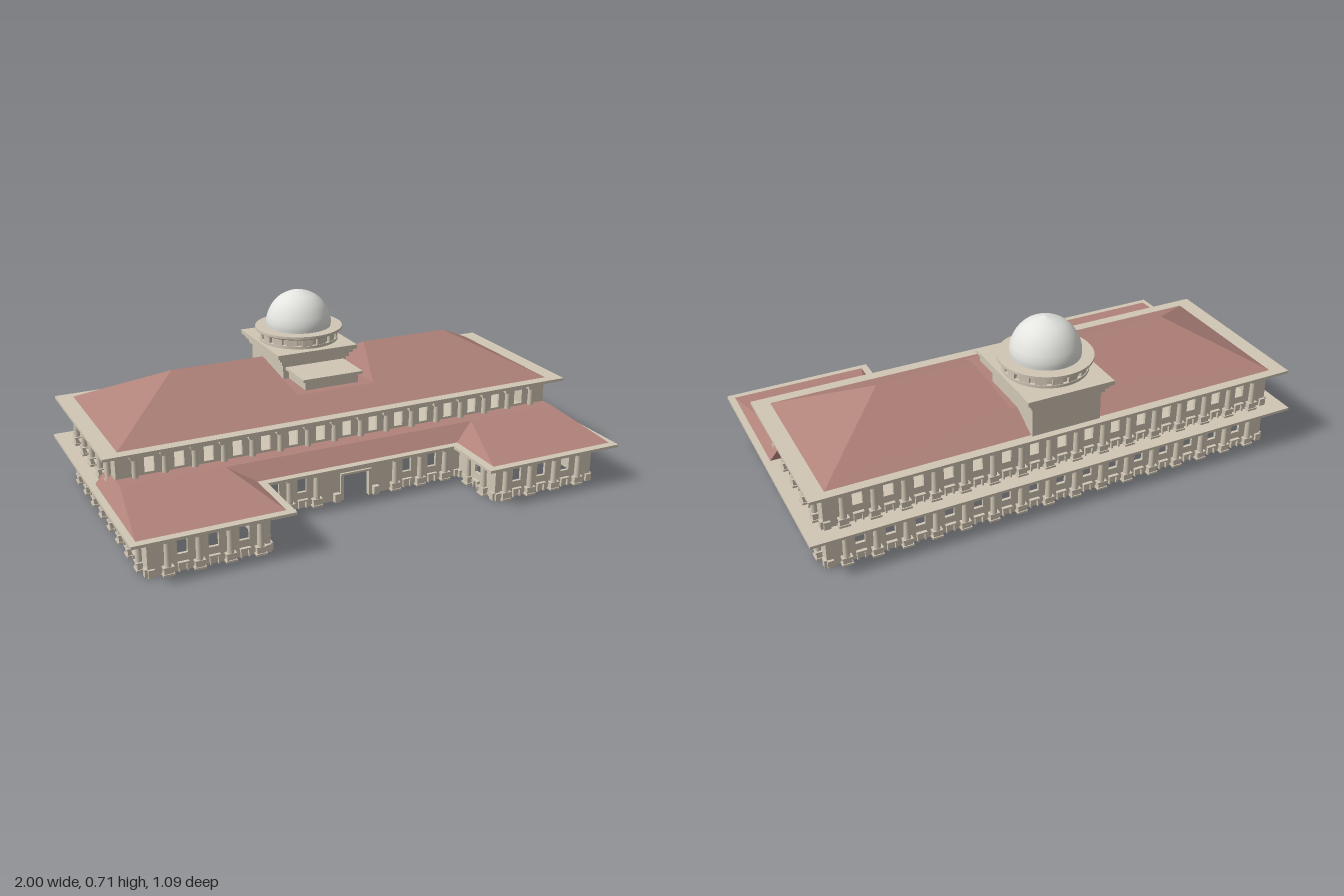
import * as THREE from 'three';
import { mergeGeometries } from 'three/addons/utils/BufferGeometryUtils.js';

const stone = new THREE.MeshStandardMaterial({ color: 0xd0c6b4, side: THREE.DoubleSide });
const tile = new THREE.MeshStandardMaterial({ color: 0xb0827a, side: THREE.DoubleSide });
const domeMat = new THREE.MeshStandardMaterial({ color: 0xe4e4e0 });

const BAY = 0.1143, WALL_H = 0.145, THICK = 0.012, UPPER_Y = 0.168;
const HX = 0.927, BACK = -0.47, FRONT = 0.47, WING_X = 0.473, COURT_Z = 0.203, UP_FRONT = 0.125;
const bays = (from, to) => Array.from({ length: to - from + 1 }, (_, i) => (from + i) * BAY);

function add(parent, name, geo, mat = stone) {
  const mesh = new THREE.Mesh(geo, mat);
  mesh.name = name;
  parent.add(mesh);
  return mesh;
}

// Box given by its limits
function block(x0, x1, y0, y1, z0, z1) {
  return new THREE.BoxGeometry(x1 - x0, y1 - y0, z1 - z0)
    .translate((x0 + x1) / 2, (y0 + y1) / 2, (z0 + z1) / 2);
}
const disc = (rTop, rBottom, y0, y1, n = 48) =>
  new THREE.CylinderGeometry(rTop, rBottom, y1 - y0, n).translate(0, (y0 + y1) / 2, 0);

// Engaged column on a pedestal; local z = 0 is the wall face
const columnGeo = mergeGeometries([
  block(-0.021, 0.021, 0, 0.008, 0, 0.024),
  block(-0.017, 0.017, 0.008, 0.028, 0, 0.02),
  block(-0.02, 0.02, 0.028, 0.034, 0, 0.023),
  disc(0.011, 0.013, 0.034, 0.128, 12).translate(0, 0, 0.009),
  block(-0.015, 0.015, 0.125, 0.132, 0, 0.02),
  block(-0.02, 0.02, 0.132, 0.142, 0, 0.023),
]);

// Small framed niche below each window
const nicheGeo = mergeGeometries([
  block(-0.018, -0.012, 0, 0.031, 0, 0.01),
  block(0.012, 0.018, 0, 0.031, 0, 0.01),
  block(-0.02, 0.02, 0.031, 0.037, 0, 0.013),
]);

function rect(path, x0, x1, y0, y1) {
  path.moveTo(x0, y0); path.lineTo(x0, y1); path.lineTo(x1, y1); path.lineTo(x1, y0);
  path.closePath();
  return path;
}

// Wall centred on (x, z), its outer face turned by angle, with open windows and columns
function wall(parent, name, x, y, z, angle, length, windows, columns, door = 0) {
  const g = new THREE.Group();
  g.name = name;
  g.position.set(x, y, z);
  g.rotation.y = angle;
  const h = length / 2, s = new THREE.Shape();
  s.moveTo(-h, 0);
  if (door) {
    s.lineTo(-door, 0); s.lineTo(-door, 0.105); s.lineTo(door, 0.105); s.lineTo(door, 0);
  }
  s.lineTo(h, 0); s.lineTo(h, WALL_H); s.lineTo(-h, WALL_H); s.closePath();
  for (const w of windows) s.holes.push(rect(new THREE.Path(), w - 0.019, w + 0.019, 0.065, 0.124));
  add(g, 'wallPanel', new THREE.ExtrudeGeometry(s, { depth: THICK, bevelEnabled: false }).translate(0, 0, -THICK));
  for (const w of windows) add(g, 'windowNiche', nicheGeo).position.x = w;
  for (const c of columns) add(g, 'column', columnGeo).position.x = c;
  for (const e of [-1, 1]) add(g, 'cornerPlinth', block(-0.012, 0.012, 0, 0.03, 0, 0.01)).position.x = e * (h - 0.012);
  parent.add(g);
}

// Horizontal slab from an outline of [x, z] points
function slab(outline, y0, y1) {
  const s = new THREE.Shape(outline.map(([x, z]) => new THREE.Vector2(x, -z)));
  return new THREE.ExtrudeGeometry(s, { depth: y1 - y0, bevelEnabled: false }).rotateX(-Math.PI / 2).translate(0, y0, 0);
}
const lowerOutline = (o) => {
  const half = [[HX + o, BACK - o], [HX + o, FRONT + o], [WING_X - o, FRONT + o], [WING_X - o, COURT_Z + o]];
  return [...half, ...half.map(([x, z]) => [-x, z]).reverse()];
};
const upperOutline = (o) => [[HX + o, BACK - o], [HX + o, UP_FRONT + o], [-HX - o, UP_FRONT + o], [-HX - o, BACK - o]];

// Flat roof faces (convex polygons), mirrored across x
function roof(faces) {
  const pos = [];
  for (const side of [1, -1]) for (const f of faces)
    for (let i = 1; i < f.length - 1; i++)
      for (const p of side > 0 ? [f[0], f[i], f[i + 1]] : [f[0], f[i + 1], f[i]]) pos.push(p[0] * side, p[1], p[2]);
  const g = new THREE.BufferGeometry();
  g.setAttribute('position', new THREE.Float32BufferAttribute(pos, 3));
  g.computeVertexNormals();
  return g;
}

export function createModel() {
  const model = new THREE.Group();
  model.name = 'domedBuilding';
  const Q = Math.PI / 2;

  // Ground floor
  const ground = new THREE.Group();
  ground.name = 'groundFloor';
  model.add(ground);
  const longCols = bays(-8, 7).map((c) => c + BAY / 2);
  const sideCols = bays(-4, 3).map((c) => c + BAY / 2);
  wall(ground, 'backWall', 0, 0, BACK, Math.PI, 2 * HX, bays(-7, 7), longCols);
  wall(ground, 'courtWall', 0, 0, COURT_Z, 0, 2 * WING_X,
    [-3, -2, 2, 3].map((k) => k * BAY), [-3.5, -2.5, -1.5, 1.5, 2.5, 3.5].map((k) => k * BAY), 0.055);
  for (const s of [1, -1]) {
    wall(ground, 'sideWall', s * HX, 0, 0, s * Q, FRONT - BACK, bays(-3, 3), sideCols);
    const mid = (HX + WING_X) / 2, shift = s * (6 * BAY - mid);
    wall(ground, 'wingFrontWall', s * mid, 0, FRONT, 0, HX - WING_X,
      bays(-1, 1).map((w) => w + shift), [-1.5, -0.5, 0.5, 1.5].map((k) => k * BAY + shift));
    const zc = (FRONT + COURT_Z) / 2;
    wall(ground, 'wingInnerWall', s * WING_X, 0, zc, -s * Q, FRONT - COURT_Z,
      [s * (3 * BAY - zc)], [s * (2.5 * BAY - zc), s * (3.5 * BAY - zc)]);
    // Door surround
    add(ground, 'doorJamb', block(-0.006, 0.006, 0, 0.105, COURT_Z, COURT_Z + 0.008)).position.x = s * 0.061;
    add(ground, 'doorPost', block(-0.012, 0.012, 0, 0.035, COURT_Z, COURT_Z + 0.02)).position.x = s * 0.085;
  }
  add(ground, 'doorLintel', block(-0.067, 0.067, 0.105, 0.113, COURT_Z, COURT_Z + 0.01));
  for (const [o, y0, y1] of [[0.025, 0.142, 0.15], [0.05, 0.15, 0.157], [0.073, 0.157, 0.168]])
    add(ground, 'lowerEave', slab(lowerOutline(o), y0, y1));

  // Upper floor
  const upper = new THREE.Group();
  upper.name = 'upperFloor';
  model.add(upper);
  const uz = (UP_FRONT + BACK) / 2;
  wall(upper, 'upperFrontWall', 0, UPPER_Y, UP_FRONT, 0, 2 * HX, bays(-7, 7), longCols);
  wall(upper, 'upperBackWall', 0, UPPER_Y, BACK, Math.PI, 2 * HX, bays(-7, 7), longCols);
  for (const s of [1, -1])
    wall(upper, 'upperSideWall', s * HX, UPPER_Y, uz, s * Q, UP_FRONT - BACK,
      [-1.5, -0.5, 0.5, 1.5].map((k) => k * BAY), bays(-2, 2));
  for (const [o, y0, y1] of [[0.022, 0.31, 0.318], [0.04, 0.318, 0.325], [0.058, 0.325, 0.336]])
    add(upper, 'upperEave', slab(upperOutline(o), y0, y1));

  // Low roof over the wings and court front
  const lo = 0.17, hi = 0.224;
  const a = [0.975, lo, 0.515], b = [0.43, lo, 0.515], c = [0.43, lo, 0.25], d = [0.53, hi, 0.19];
  const e = [0.93, hi, 0.19], f = [0.975, lo, 0.25], g0 = [0, lo, 0.25], g1 = [0, hi, 0.19];
  const back = [[0.975, lo, 0.01], [0.93, hi, 0.01]];
  add(model, 'lowerRoof', roof([
    [b, a, e, d], [c, b, d], [a, f, e], [g0, c, d, g1], [f, back[0], back[1], e],
    [g1, e, [0.93, hi, UP_FRONT], [0, hi, UP_FRONT]],
    [back[0], [0.92, lo, 0.01], back[1]],
  ]), tile);

  // Main hipped roof, notched in the middle for the tower
  const A = [0.92, 0.336, 0.14], B = [0.92, 0.336, -0.49], R = [0.605, 0.5, -0.175], N = [0.225, 0.5, -0.175];
  const F = [0.165, 0.393, 0.03], K = [0.165, 0.393, -0.38];
  const F0 = [0, 0.393, 0.03], K0 = [0, 0.393, -0.38], A0 = [0, 0.336, 0.14], B0 = [0, 0.336, -0.49];
  add(model, 'mainRoof', roof([
    [A0, A, F, F0], [A, R, N, F], [A, B, R], [B, K, N, R], [B, B0, K0, K], [N, K, F], [F0, F, K, K0],
  ]), tile);

  // Tower base
  const tower = new THREE.Group();
  tower.name = 'tower';
  model.add(tower);
  add(tower, 'towerBody', block(-0.14, 0.14, 0.33, 0.455, -0.5, -0.17));
  add(tower, 'frontBlock', block(-0.115, 0.115, 0.37, 0.43, -0.18, -0.008));
  add(tower, 'frontBlockCap', block(-0.13, 0.13, 0.43, 0.441, -0.18, 0.004));
  for (const [w, y0, y1] of [[0.15, 0.452, 0.472], [0.162, 0.472, 0.488], [0.175, 0.488, 0.505]])
    add(tower, 'towerCornice', block(-w, w, y0, y1, -0.36 - w, -0.31 + w));

  // Drum with a ring of small openings
  const drum = new THREE.Group();
  drum.name = 'drum';
  drum.position.z = -0.328;
  tower.add(drum);
  add(drum, 'drumBase', disc(0.163, 0.163, 0.505, 0.516));
  add(drum, 'drumCore', disc(0.15, 0.15, 0.516, 0.545));
  for (let i = 0; i < 16; i++)
    add(drum, 'drumPier', block(-0.02, 0.02, 0.516, 0.545, 0.14, 0.16)).rotation.y = (i + 0.5) * Math.PI / 8;
  add(drum, 'drumCornice', disc(0.172, 0.165, 0.543, 0.551));
  add(drum, 'drumRim', disc(0.18, 0.18, 0.551, 0.561));

  // Slightly pointed dome
  const curve = new THREE.SplineCurve([[0.133, 0.56], [0.134, 0.585], [0.127, 0.615], [0.108, 0.652], [0.079, 0.682],
    [0.042, 0.701], [0, 0.713]].map(([x, y]) => new THREE.Vector2(x, y)));
  const profile = curve.getPoints(32);
  profile[32].x = 0;
  add(drum, 'dome', new THREE.LatheGeometry(profile, 48), domeMat);

  return model;
}
